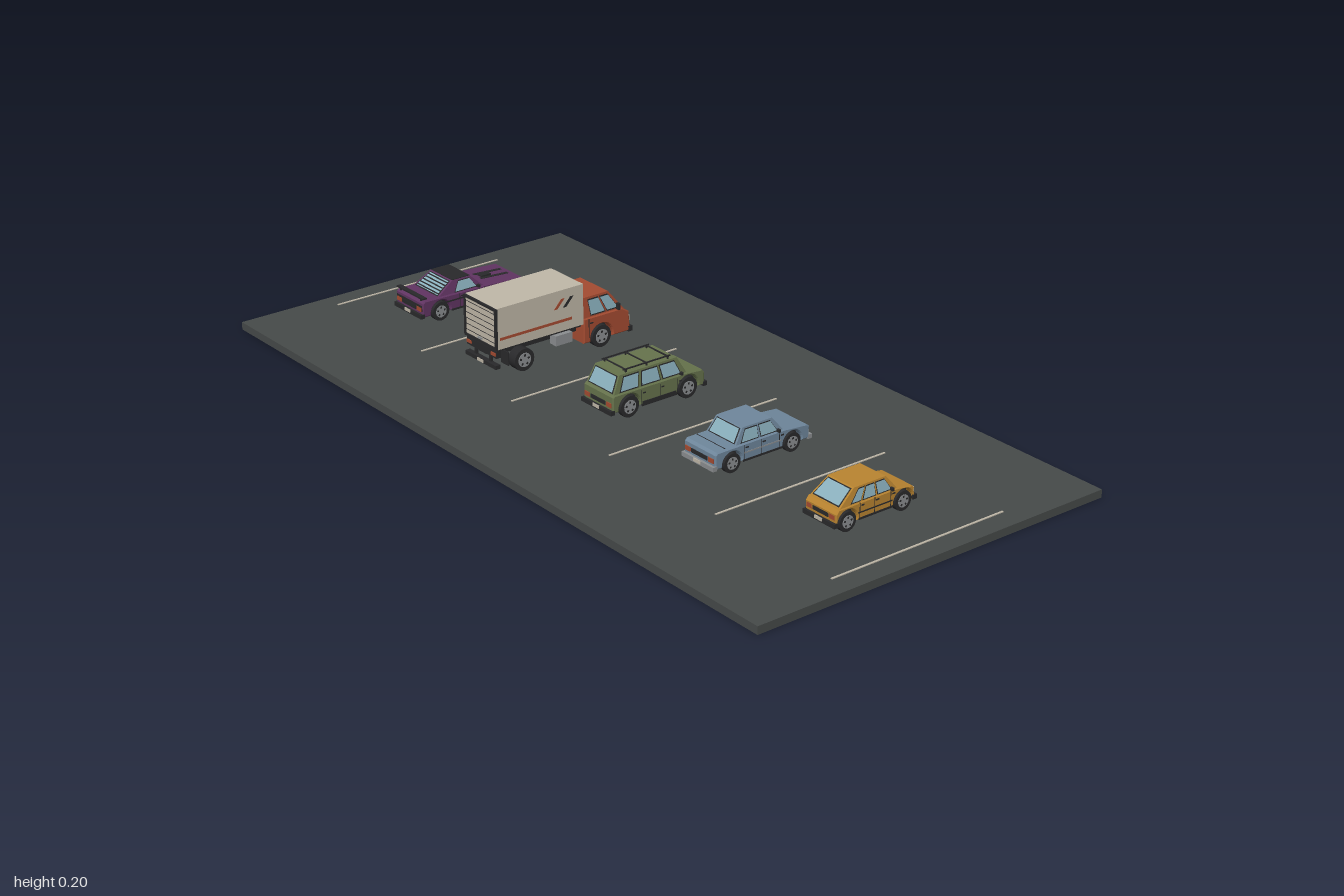
import * as THREE from 'three';

const mat = (name, color) => Object.assign(new THREE.MeshStandardMaterial({ color }), { name });
const M = {
  asphalt: mat('asphalt', 0x464a49), black: mat('black trim', 0x29292b), cream: mat('cream', 0xc0b8a8),
  red: mat('brick red', 0xa44b31), purple: mat('purple', 0x613462), green: mat('olive green', 0x66734c),
  blue: mat('slate blue', 0x6f879c), yellow: mat('amber', 0xb98430), glass: mat('glass', 0x8ab0bd),
  grey: mat('metal grey', 0x8b8e90),
};
const GROUND = 0.02;

function add(g, name, geo, m, x = 0, y = 0, z = 0) {
  const mesh = new THREE.Mesh(geo, m);
  mesh.name = name;
  mesh.position.set(x, y, z);
  g.add(mesh);
  return mesh;
}
const box = (g, name, m, w, h, d, x, y, z) => add(g, name, new THREE.BoxGeometry(w, h, d), m, x, y, z);
const pair = (g, name, m, w, h, d, x, y, z) => [-1, 1].forEach(s => box(g, name, m, w, h, d, s * x, y, z));

// Side outline (z, y pairs from rear over the top to the front) extruded across the width, with wheel arches
function body(g, m, width, top, wheels, r) {
  const wy = GROUND + r, R = r * 1.18, base = top[0][1];
  const s = new THREE.Shape(top.map(p => new THREE.Vector2(p[0], p[1])));
  const a = Math.asin((base - wy) / R);
  [...wheels].sort((p, q) => p - q).forEach(z => {
    s.lineTo(z - R * Math.cos(a), base);
    s.absarc(z, wy, R, Math.PI - a, a, true);
  });
  const b = 0.003;
  const geo = new THREE.ExtrudeGeometry(s, {
    depth: width - 2 * b, bevelThickness: b, bevelSize: b, bevelOffset: -b, bevelSegments: 1, curveSegments: 8,
  });
  geo.translate(0, 0, b - width / 2).rotateY(-Math.PI / 2);
  add(g, 'body', geo, m);
}

// Tapered cabin; c = { y0, y1, f0, f1, r0, r1, w0, w1 } gives heights, front and rear z, half widths
function cabin(g, m, c) {
  const geo = new THREE.BoxGeometry(2, 2, 2), p = geo.attributes.position;
  for (let i = 0; i < p.count; i++) {
    const up = p.getY(i) > 0, front = p.getZ(i) < 0;
    p.setXYZ(i, p.getX(i) * (up ? c.w1 : c.w0), up ? c.y1 : c.y0, front ? (up ? c.f1 : c.f0) : (up ? c.r1 : c.r0));
  }
  geo.computeVertexNormals();
  add(g, 'cabin', geo, m);
}

// Thin pane on one cabin face, u and v run from 0 to 1 across and up the face
function pane(g, name, m, c, face, u0, u1, v0, v1, lift = 0.0012) {
  const V = (x, y, z) => new THREE.Vector3(x, y, z);
  const q = {
    front: [V(c.w0, c.y0, c.f0), V(-c.w0, c.y0, c.f0), V(-c.w1, c.y1, c.f1), V(c.w1, c.y1, c.f1)],
    rear: [V(-c.w0, c.y0, c.r0), V(c.w0, c.y0, c.r0), V(c.w1, c.y1, c.r1), V(-c.w1, c.y1, c.r1)],
    left: [V(c.w0, c.y0, c.r0), V(c.w0, c.y0, c.f0), V(c.w1, c.y1, c.f1), V(c.w1, c.y1, c.r1)],
    right: [V(-c.w0, c.y0, c.f0), V(-c.w0, c.y0, c.r0), V(-c.w1, c.y1, c.r1), V(-c.w1, c.y1, c.f1)],
  }[face];
  if (face === 'right') [u0, u1] = [1 - u1, 1 - u0];
  const n = q[1].clone().sub(q[0]).cross(q[3].clone().sub(q[0])).normalize().multiplyScalar(lift);
  const at = (u, v) => q[0].clone().lerp(q[1], u).lerp(q[3].clone().lerp(q[2], u), v).add(n);
  const geo = new THREE.BufferGeometry().setFromPoints([at(u0, v0), at(u1, v0), at(u1, v1), at(u0, v1)]);
  geo.setIndex([0, 1, 2, 0, 2, 3]);
  geo.computeVertexNormals();
  add(g, name, geo, m);
}

// Framed windows all round; side windows are [u0, u1] ranges counted from the rear
function windows(g, c, sides, rear = true) {
  for (const f of rear ? ['front', 'rear'] : ['front']) {
    pane(g, 'windowSeal', M.black, c, f, 0.05, 0.95, 0.08, 0.93, 0.0007);
    pane(g, f + 'Window', M.glass, c, f, 0.08, 0.92, 0.13, 0.88, 0.0016);
  }
  for (const f of ['left', 'right']) for (const [a, b] of sides) {
    pane(g, 'windowSeal', M.black, c, f, a - 0.012, b + 0.012, 0.09, 0.9, 0.0007);
    pane(g, 'sideWindow', M.glass, c, f, a, b, 0.15, 0.84, 0.0016);
  }
}

function wheel(g, x, z, r, w) {
  const k = new THREE.Group();
  k.name = 'wheel';
  const disc = (name, m, rad, d, n) => add(k, name, new THREE.CylinderGeometry(rad, rad, d, n).rotateZ(Math.PI / 2), m);
  disc('tyre', M.black, r, w, 20);
  disc('rim', M.grey, r * 0.64, w + 0.002, 16);
  for (let i = 0; i < 5; i++) {
    const a = i * Math.PI * 0.4;
    const hole = box(k, 'rimGap', M.black, w + 0.003, r * 0.2, r * 0.18, 0, Math.cos(a) * r * 0.42, Math.sin(a) * r * 0.42);
    hole.rotation.x = a;
  }
  k.position.set(x, GROUND + r, z);
  g.add(k);
}

function car(name, x, o) {
  const g = new THREE.Group();
  g.name = name;
  g.position.x = x;
  const { w, c, r, wheels } = o, h = w / 2, zr = o.top[0][0], zf = o.top[o.top.length - 1][0];
  body(g, o.paint, w, o.top, wheels, r);
  cabin(g, o.paint, c);
  windows(g, c, o.sides);
  box(g, 'underbody', M.black, w - 0.034, 0.028, zr - zf - 0.02, 0, 0.052, (zr + zf) / 2);
  for (const z of wheels) for (const s of [-1, 1]) wheel(g, s * (h - 0.007), z, r, 0.014);
  // Bumpers, lamps, grille and plates at both ends
  for (const [z, s] of [[zr, 1], [zf, -1]]) {
    box(g, 'bumper', o.bumper, w + 0.002, 0.011, 0.012, 0, 0.044, z + s * 0.001);
    box(g, 'plate', M.cream, 0.024, 0.008, 0.002, 0, 0.046, z + s * 0.0075);
    pair(g, s > 0 ? 'tailLamp' : 'headLamp', s > 0 ? M.red : M.cream, w * 0.17, 0.011, 0.003, w * 0.37, 0.061, z + s * 0.0005);
    box(g, s > 0 ? 'rearPanel' : 'grille', M.black, w * 0.5, 0.01, 0.003, 0, 0.061, z + s * 0.0005);
  }
  // Door seams, sills, handles and mirrors
  const span = wheels[0] - wheels[1];
  pair(g, 'sill', M.black, 0.002, 0.005, span - r * 2.6, h, 0.041, (wheels[0] + wheels[1]) / 2);
  o.doors.forEach(z => {
    pair(g, 'doorSeam', M.black, 0.001, 0.037, 0.0015, h, 0.061, z);
    pair(g, 'doorHandle', M.black, 0.003, 0.003, 0.008, h, 0.072, z - 0.008);
  });
  pair(g, 'mirror', M.black, 0.009, 0.007, 0.006, h + 0.001, c.y0 + 0.006, c.f0 + 0.02);
  return g;
}

function truck(x) {
  const g = new THREE.Group();
  g.name = 'boxTruck';
  g.position.x = x;
  const c = { y0: 0.106, y1: 0.16, f0: -0.184, f1: -0.141, r0: -0.06, r1: -0.06, w0: 0.062, w1: 0.056 };
  body(g, M.red, 0.13, [[-0.06, 0.042], [-0.06, 0.108], [-0.178, 0.108], [-0.2, 0.094], [-0.204, 0.042]], [-0.115], 0.029);
  cabin(g, M.red, c);
  windows(g, c, [[0.2, 0.56], [0.62, 0.9]], false);
  box(g, 'frontBumper', M.black, 0.132, 0.014, 0.012, 0, 0.047, -0.203);
  box(g, 'grille', M.black, 0.07, 0.016, 0.003, 0, 0.074, -0.203);
  pair(g, 'headLamp', M.cream, 0.02, 0.014, 0.004, 0.05, 0.074, -0.203);
  box(g, 'plate', M.cream, 0.024, 0.008, 0.002, 0, 0.047, -0.21);
  pair(g, 'mirror', M.black, 0.01, 0.017, 0.006, 0.069, 0.118, -0.163);
  pair(g, 'doorSeam', M.black, 0.001, 0.05, 0.0015, 0.065, 0.08, -0.075);
  pair(g, 'doorHandle', M.black, 0.003, 0.003, 0.009, 0.065, 0.093, -0.083);
  // Chassis and wheels
  pair(g, 'chassisRail', M.black, 0.012, 0.018, 0.37, 0.025, 0.075, 0.005);
  box(g, 'engineBay', M.black, 0.08, 0.05, 0.12, 0, 0.07, -0.125);
  pair(g, 'fuelTank', M.grey, 0.024, 0.026, 0.05, 0.045, 0.068, -0.005);
  pair(g, 'mudFlap', M.black, 0.03, 0.035, 0.003, 0.046, 0.062, 0.165);
  for (const s of [-1, 1]) {
    wheel(g, s * 0.055, -0.115, 0.029, 0.018);
    wheel(g, s * 0.05, 0.12, 0.029, 0.028);
  }
  // Cargo box with side stripes
  box(g, 'cargoBox', M.cream, 0.13, 0.107, 0.258, 0, 0.149, 0.071);
  box(g, 'cargoFloor', M.black, 0.122, 0.006, 0.25, 0, 0.093, 0.071);
  pair(g, 'sideStripe', M.red, 0.001, 0.007, 0.215, 0.0652, 0.122, 0.085);
  for (const s of [-1, 1]) [[0.015, M.red], [-0.012, M.black]].forEach(([z, m]) => {
    const sh = new THREE.Shape([[-0.016, -0.012], [-0.006, -0.012], [0.016, 0.012], [0.006, 0.012]].map(p => new THREE.Vector2(...p)));
    const geo = new THREE.ExtrudeGeometry(sh, { depth: 0.001, bevelEnabled: false });
    geo.rotateY(Math.PI / 2);
    if (s < 0) geo.translate(-0.001, 0, 0);
    add(g, 'diagonalStripe', geo, m, s * 0.065, 0.168, z);
  });
  // Rear frame, roller door and step
  box(g, 'rollerDoor', M.cream, 0.116, 0.092, 0.004, 0, 0.149, 0.2015);
  for (let i = 0; i < 6; i++) box(g, 'doorGroove', M.black, 0.116, 0.0013, 0.001, 0, 0.113 + i * 0.015, 0.2038);
  pair(g, 'doorFrame', M.black, 0.005, 0.105, 0.007, 0.063, 0.148, 0.202);
  for (const y of [0.199, 0.099]) box(g, 'doorFrame', M.black, 0.13, 0.006, 0.007, 0, y, 0.202);
  box(g, 'doorHandle', M.grey, 0.016, 0.004, 0.003, 0, 0.108, 0.205);
  box(g, 'rearPanel', M.black, 0.122, 0.02, 0.008, 0, 0.082, 0.197);
  pair(g, 'tailLamp', M.red, 0.018, 0.008, 0.003, 0.05, 0.082, 0.202);
  box(g, 'rearStep', M.black, 0.126, 0.01, 0.014, 0, 0.05, 0.198);
  pair(g, 'stepBracket', M.black, 0.008, 0.034, 0.006, 0.03, 0.065, 0.195);
  box(g, 'plate', M.cream, 0.024, 0.008, 0.002, 0, 0.05, 0.2055);
  return g;
}

export function createModel() {
  const root = new THREE.Group();
  root.name = 'parkingLot';
  box(root, 'pavement', M.asphalt, 2, GROUND, 1, 0, GROUND / 2, 0);
  for (let i = 0; i < 6; i++) box(root, 'bayLine', M.cream, 0.005, 0.002, 0.5, -0.944 + i * 0.3772, GROUND + 0.001, 0);

  // Muscle coupe with a dark roof, bonnet stripes and louvred rear window
  const cc = { y0: 0.08, y1: 0.114, f0: -0.035, f1: 0.002, r0: 0.108, r1: 0.056, w0: 0.056, w1: 0.047 };
  const coupe = car('coupe', -0.756, {
    paint: M.purple, bumper: M.black, w: 0.118, r: 0.025, wheels: [0.1, -0.103], c: cc, sides: [[0.36, 0.86]], doors: [0.042, -0.035],
    top: [[0.155, 0.04], [0.155, 0.078], [0.148, 0.084], [0.03, 0.082], [-0.05, 0.082], [-0.15, 0.076], [-0.158, 0.068], [-0.158, 0.04]],
  });
  box(coupe, 'roofPanel', M.black, 0.092, 0.002, 0.054, 0, 0.1145, 0.029);
  for (let i = 0; i < 5; i++) pane(coupe, 'rearLouvre', M.black, cc, 'rear', 0.08, 0.92, 0.16 + i * 0.15, 0.22 + i * 0.15, 0.0024);
  for (const s of [-1, 1]) box(coupe, 'bonnetStripe', M.black, 0.01, 0.001, 0.085, s * 0.016, 0.0802, -0.095).rotation.x = -0.06;
  box(coupe, 'bonnetScoop', M.black, 0.018, 0.006, 0.03, 0, 0.082, -0.075);
  box(coupe, 'spoiler', M.black, 0.116, 0.004, 0.013, 0, 0.09, 0.148);
  pair(coupe, 'spoilerPost', M.black, 0.004, 0.008, 0.008, 0.045, 0.086, 0.148);
  box(coupe, 'tailPanel', M.black, 0.112, 0.016, 0.002, 0, 0.064, 0.155);
  pair(coupe, 'sideStripe', M.black, 0.001, 0.004, 0.2, 0.059, 0.066, 0);
  root.add(coupe, truck(-0.378));

  // Off-road wagon with roof rack and dark cladding
  const sc = { y0: 0.084, y1: 0.13, f0: -0.088, f1: -0.062, r0: 0.13, r1: 0.108, w0: 0.053, w1: 0.046 };
  const wagon = car('offRoadWagon', -0.002, {
    paint: M.green, bumper: M.black, w: 0.112, r: 0.027, wheels: [0.085, -0.09], c: sc,
    sides: [[0.08, 0.32], [0.38, 0.63], [0.68, 0.92]], doors: [0.05, -0.005, -0.058],
    top: [[0.135, 0.042], [0.135, 0.082], [0.13, 0.087], [-0.085, 0.087], [-0.132, 0.083], [-0.14, 0.074], [-0.14, 0.042]],
  });
  pair(wagon, 'roofRail', M.black, 0.003, 0.003, 0.14, 0.04, 0.1375, 0.023);
  for (const z of [-0.04, 0.023, 0.085]) {
    box(wagon, 'rackBar', M.black, 0.08, 0.002, 0.004, 0, 0.1365, z);
    pair(wagon, 'rackFoot', M.black, 0.003, 0.007, 0.004, 0.04, 0.133, z);
  }
  pair(wagon, 'cladding', M.black, 0.003, 0.007, 0.1, 0.056, 0.047, -0.0025);
  root.add(wagon);

  // Three-box saloon with bright trim
  const bc = { y0: 0.08, y1: 0.118, f0: -0.066, f1: -0.034, r0: 0.077, r1: 0.052, w0: 0.052, w1: 0.045 };
  const saloon = car('saloon', 0.374, {
    paint: M.blue, bumper: M.grey, w: 0.11, r: 0.024, wheels: [0.088, -0.09], c: bc,
    sides: [[0.1, 0.46], [0.53, 0.88]], doors: [0.054, 0.004, -0.05],
    top: [[0.138, 0.04], [0.138, 0.076], [0.132, 0.082], [-0.065, 0.083], [-0.132, 0.077], [-0.141, 0.07], [-0.141, 0.04]],
  });
  pair(saloon, 'sideTrim', M.grey, 0.002, 0.003, 0.11, 0.055, 0.06, 0);
  box(saloon, 'bootSeam', M.black, 0.1, 0.001, 0.0015, 0, 0.0825, 0.105);
  root.add(saloon);

  // Compact hatchback
  const hc = { y0: 0.078, y1: 0.115, f0: -0.067, f1: -0.036, r0: 0.103, r1: 0.056, w0: 0.048, w1: 0.041 };
  const hatch = car('hatchback', 0.753, {
    paint: M.yellow, bumper: M.black, w: 0.1, r: 0.024, wheels: [0.079, -0.083], c: hc,
    sides: [[0.18, 0.34], [0.39, 0.61], [0.66, 0.9]], doors: [0.045, 0.002, -0.045],
    top: [[0.112, 0.038], [0.114, 0.07], [0.106, 0.08], [-0.065, 0.081], [-0.108, 0.074], [-0.116, 0.066], [-0.116, 0.038]],
  });
  pair(hatch, 'sideTrim', M.black, 0.002, 0.003, 0.1, 0.05, 0.056, 0);
  root.add(hatch);
  return root;
}
